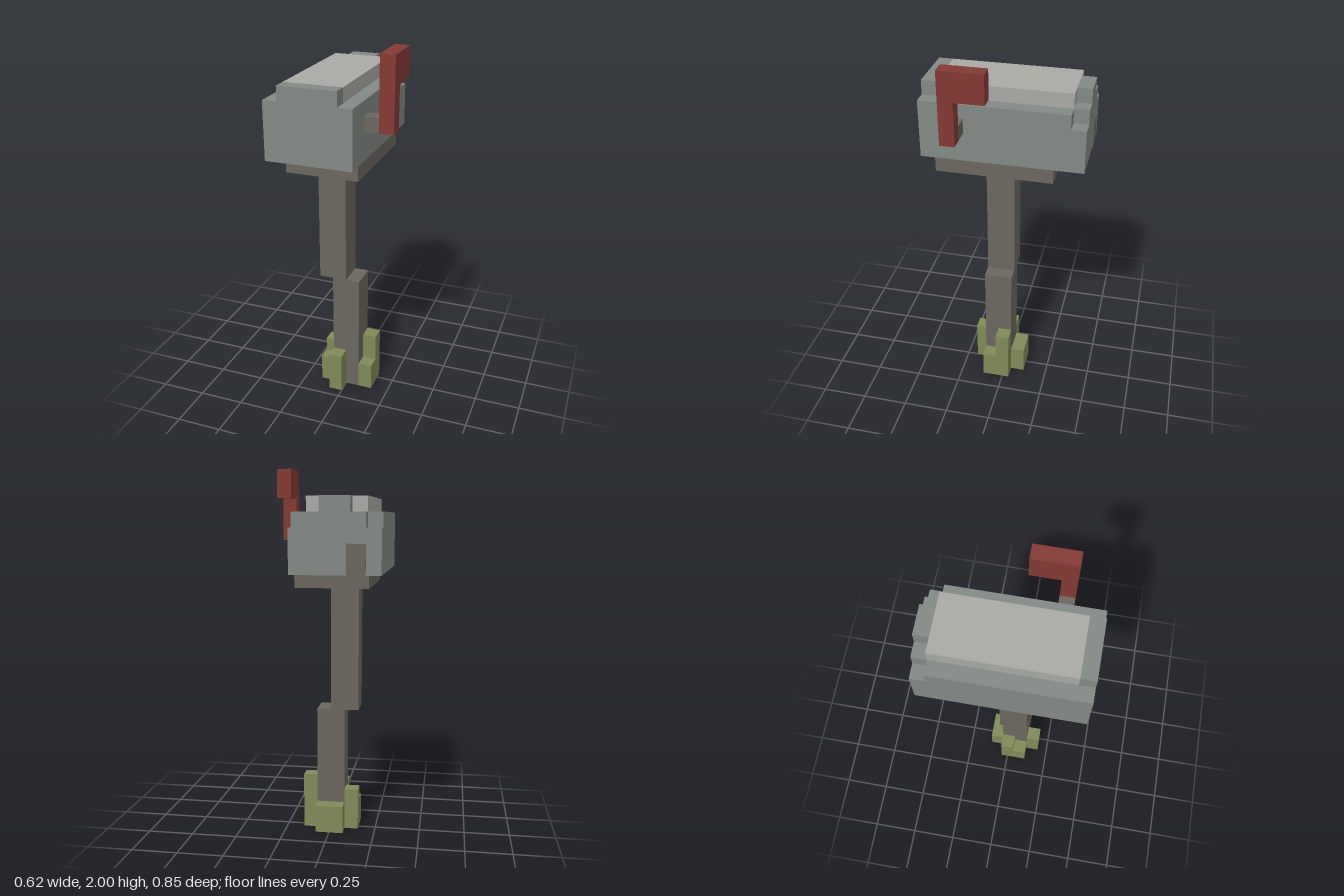
import * as THREE from 'three';

const U = 1 / 13; // one block of the voxel grid

const mat = (name, color) => {
  const m = new THREE.MeshStandardMaterial({ color });
  m.name = name;
  return m;
};

export function createModel() {
  const steel = mat('greySteel', 0x838985);
  const pale = mat('paleSteel', 0xa9aaa5);
  const wood = mat('weatheredWood', 0x6b665f);
  const red = mat('flagRed', 0x843a35);
  const green = mat('grassGreen', 0x808a58);

  const model = new THREE.Group();
  model.name = 'mailbox';

  const group = (name) => {
    const g = new THREE.Group();
    g.name = name;
    model.add(g);
    return g;
  };

  // Box given by its min and max corners in blocks
  const block = (parent, name, material, [x0, y0, z0], [x1, y1, z1]) => {
    const geo = new THREE.BoxGeometry((x1 - x0) * U, (y1 - y0) * U, (z1 - z0) * U);
    const mesh = new THREE.Mesh(geo, material);
    mesh.position.set((x0 + x1) / 2 * U, (y0 + y1) / 2 * U, (z0 + z1) / 2 * U);
    mesh.name = name;
    parent.add(mesh);
  };

  // Post in two offset pieces, with the support board on top
  const post = group('post');
  block(post, 'lowerPost', wood, [-1, 0, -0.5], [1, 9, 1.5]);
  block(post, 'upperPost', wood, [-2, 9, -0.5], [0, 18, 1.5]);
  block(post, 'supportBoard', wood, [-3, 18, -3.5], [2, 19, 4.5]);

  // Mailbox body with a pale lid and a steel rim at the front
  const box = group('box');
  block(box, 'boxBody', steel, [-4, 19, -4.5], [2, 23, 5.5]);
  block(box, 'frontRim', steel, [-3, 23, 4.5], [1, 24, 5.5]);
  block(box, 'lid', pale, [-3, 23, -4.5], [1, 24, 4.5]);

  // Back panel with stepped shoulders
  const half = [[3, 19], [3, 22], [2, 22], [2, 23], [1, 23], [1, 24]];
  const outline = [
    ...half.map(([x, y]) => [x - 1, y]),
    ...half.map(([x, y]) => [-x - 1, y]).reverse(),
  ].map(([x, y]) => new THREE.Vector2(x * U, y * U));
  const backGeo = new THREE.ExtrudeGeometry(new THREE.Shape(outline), { depth: U, bevelEnabled: false });
  const back = new THREE.Mesh(backGeo, steel);
  back.name = 'backPanel';
  back.position.z = -5.5 * U;
  box.add(back);

  // Thin worn patch on the back panel
  block(box, 'backPatch', wood, [-3, 19, -5.54], [-1.75, 21, -5.49]);

  // Signal flag on its bracket
  const flag = group('flag');
  block(flag, 'flagBracket', wood, [2, 21, 2.5], [3, 22, 3.5]);
  block(flag, 'flagPole', red, [3, 21, 2.5], [4, 26, 3.5]);
  block(flag, 'flagBlade', red, [3, 24, 0.5], [4, 26, 2.5]);

  // Grass tufts around the foot: x0, z0, x1, z1, height
  const grass = group('grass');
  [
    [-1, 1.5, 0, 2.5, 3],
    [1, 0.5, 2, 1.5, 2],
    [1, -0.5, 2, 0.5, 4],
    [-2, 0.5, -1, 1.5, 2],
    [-2, -0.5, -1, 0.5, 3],
    [-1, -1.5, 1, -0.5, 2],
  ].forEach(([x0, z0, x1, z1, h], i) =>
    block(grass, `grassTuft${i + 1}`, green, [x0, 0, z0], [x1, h, z1]));

  return model;
}
